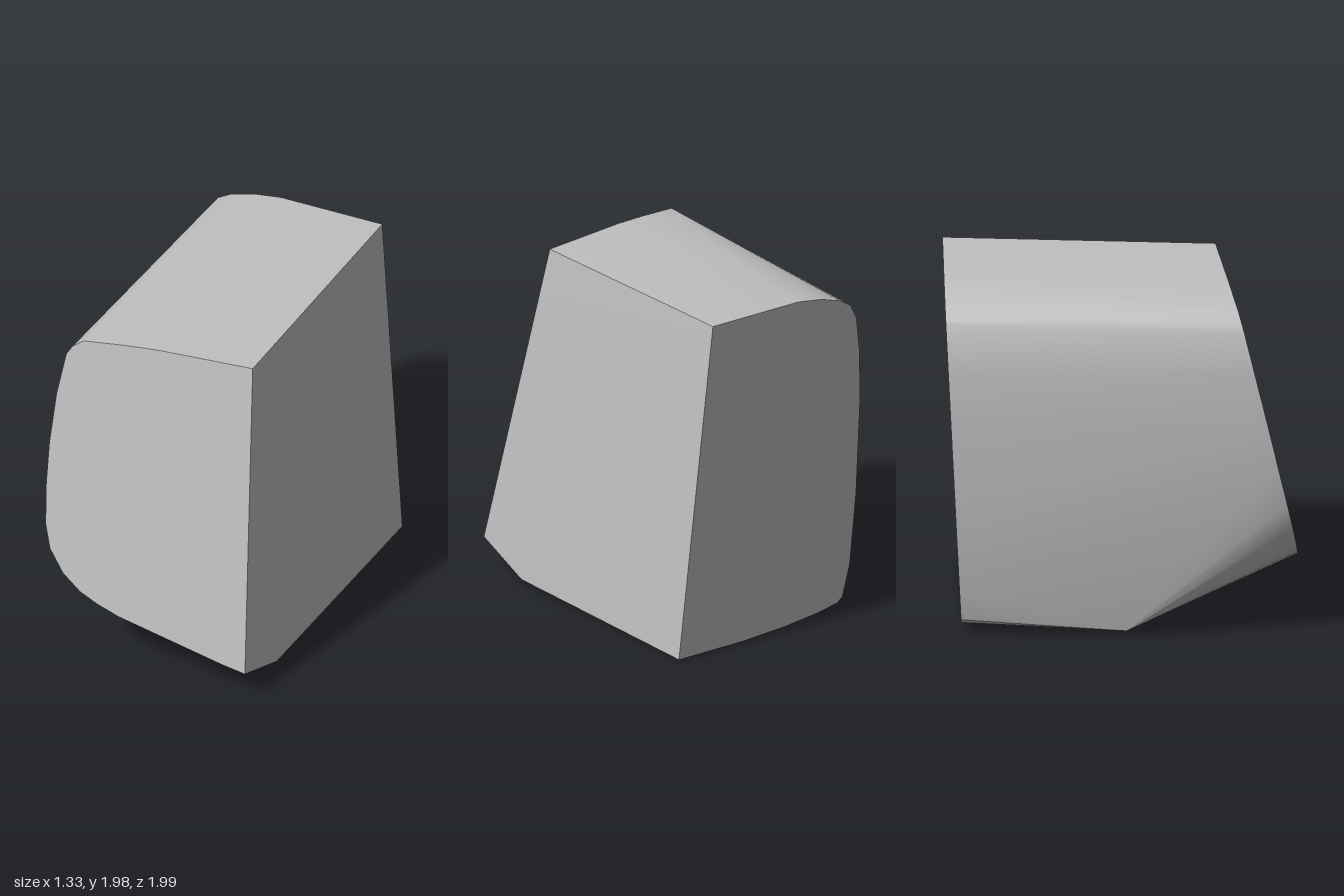
import * as THREE from 'three';
import { ConvexGeometry } from 'three/addons/geometries/ConvexGeometry.js';
import { toCreasedNormals } from 'three/addons/utils/BufferGeometryUtils.js';

// Outlines (x, y) of the two flat ends
const frontOutline = [
  [0.44, 1.97], [-0.1, 1.968], [-0.3, 1.957], [-0.54, 1.935], [-0.6, 1.89], [-0.63, 1.84],
  [-0.66, 1.6], [-0.67, 1.3], [-0.662, 1.06], [-0.64, 0.82], [-0.6, 0.68], [-0.51, 0.55],
  [-0.4, 0.46], [-0.3, 0.41], [-0.17, 0.36], [0.45, 0.2], [0.59, 0.17],
];
const backOutline = [
  [0.49, 1.98], [-0.13, 1.972], [-0.3, 1.945], [-0.44, 1.9], [-0.515, 1.855], [-0.56, 1.77],
  [-0.59, 1.57], [-0.607, 1.28], [-0.6, 0.7], [-0.57, 0.27], [-0.525, 0.09], [-0.49, 0.06],
  [-0.35, 0.035], [-0.11, 0.012], [0.2, 0.0], [0.66, 0.005],
];

// Tilted planes carrying the ends
const frontZ = (x, y) => 1.0405 - 0.137 * x - 0.2336 * y;
const backZ = (x, y) => -1 - 0.026 * (x - 0.49) - 0.048 * (y - 1.98);
const onPlane = (outline, z) => outline.map(([x, y]) => new THREE.Vector3(x, y, z(x, y)));

export function createModel() {
  const group = new THREE.Group();
  group.name = 'roundedBlock';
  const grey = new THREE.MeshStandardMaterial({ color: 0xc0c0c0 });
  grey.name = 'grey';

  // Crease where the underside turns up towards the front
  const crease = [
    new THREE.Vector3(0.61, 0.028, 0.56),
    new THREE.Vector3(0, 0.025, 0.31),
    new THREE.Vector3(-0.57, 0.045, 0.04),
  ];

  // Solid spanning both ends and the crease
  const hull = new ConvexGeometry([
    ...onPlane(frontOutline, frontZ),
    ...onPlane(backOutline, backZ),
    ...crease,
  ]);
  const block = new THREE.Mesh(toCreasedNormals(hull, 0.42), grey);
  block.name = 'block';
  group.add(block);
  return group;
}
